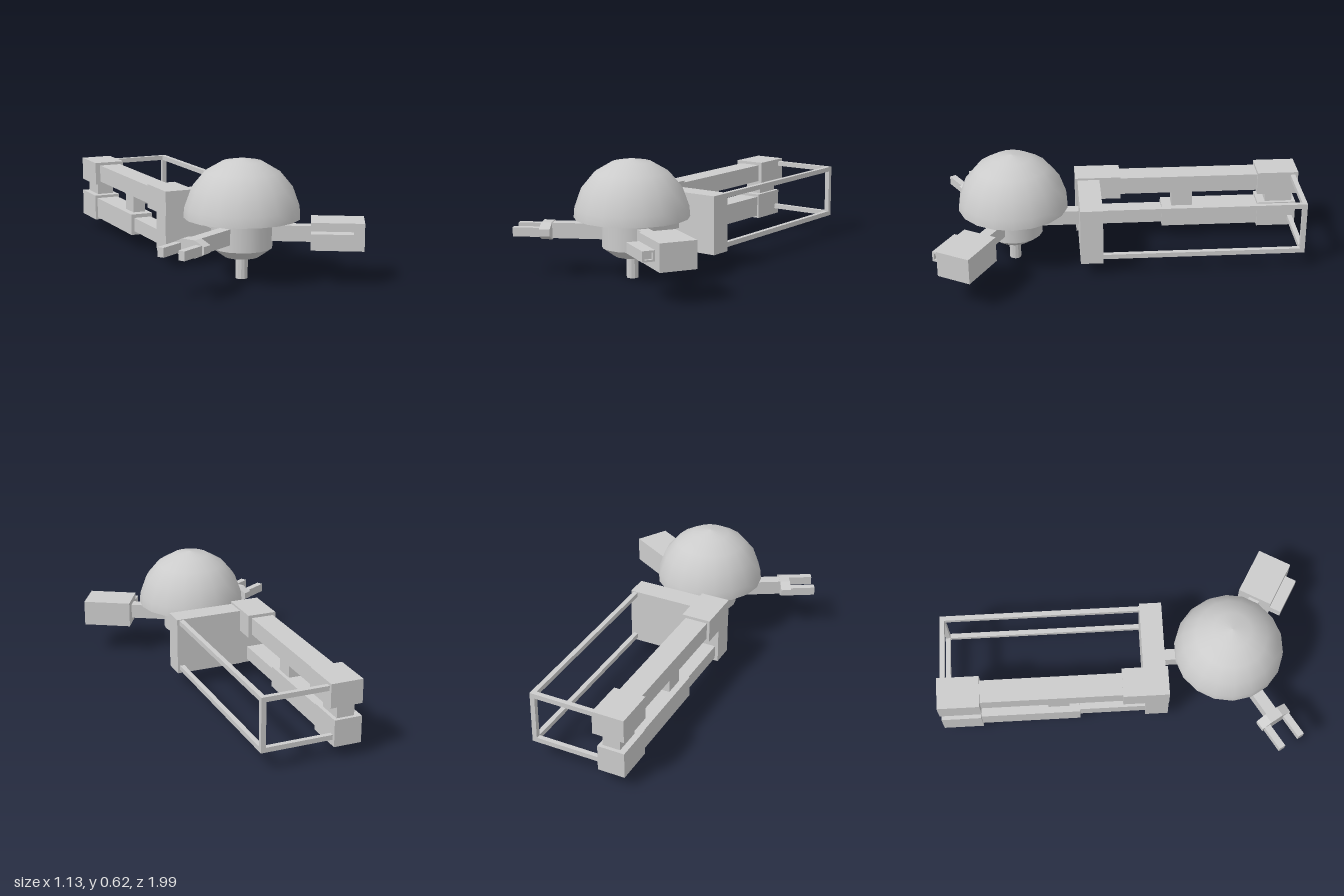
import * as THREE from 'three';

const grey = new THREE.MeshStandardMaterial({ color: 0xcccccc, flatShading: true });
const smooth = new THREE.MeshStandardMaterial({ color: 0xcccccc });

function add(parent, name, geometry, material = grey) {
  const mesh = new THREE.Mesh(geometry, material);
  mesh.name = name;
  parent.add(mesh);
  return mesh;
}

// Box given by its extents on each axis
function box(parent, name, [x0, x1], [y0, y1], [z0, z1]) {
  const mesh = add(parent, name, new THREE.BoxGeometry(x1 - x0, y1 - y0, z1 - z0));
  mesh.position.set((x0 + x1) / 2, (y0 + y1) / 2, (z0 + z1) / 2);
  return mesh;
}

// 18-sided turned part with corners on the x axis
function turned(parent, name, points, material = smooth) {
  const profile = points.map(([r, y]) => new THREE.Vector2(r, y));
  return add(parent, name, new THREE.LatheGeometry(profile, 18, Math.PI / 18), material);
}

function createHead() {
  const head = new THREE.Group();
  head.name = 'head';
  head.position.set(-0.01, 0, 0.57);

  // Dome with a flat underside
  const dome = [90, 80, 60, 40, 20, 0].map((d) => {
    const a = THREE.MathUtils.degToRad(d);
    return [0.295 * Math.sin(a), 0.316 + 0.299 * Math.cos(a)];
  });
  turned(head, 'dome', dome);
  turned(head, 'domeUnderside', [[0, 0.316], [0.295, 0.316]], grey);

  // Body, tapered base and stem
  turned(head, 'body', [[0.155, 0.162], [0.155, 0.316]]);
  turned(head, 'taperedBase', [[0, 0.115], [0.09, 0.115], [0.155, 0.162]], grey);
  const stem = add(head, 'stem', new THREE.CylinderGeometry(0.031, 0.031, 0.12, 12));
  stem.position.y = 0.06;

  // Three arms at 120 degrees; local +x points outward
  const arm = (name, degrees, end) => {
    const group = new THREE.Group();
    group.name = name;
    group.rotation.y = THREE.MathUtils.degToRad(degrees);
    box(group, name + 'Beam', [0.135, end], [0.2, 0.28], [-0.031, 0.031]);
    head.add(group);
    return group;
  };
  arm('neck', 90, 0.36);

  // Tool arm: housing with a hollow square barrel on its side
  const tool = arm('toolArm', -30, 0.36);
  box(tool, 'toolHousing', [0.345, 0.61], [0.17, 0.31], [-0.095, 0.095]);
  const square = (path, w, h) => path.moveTo(-w, -h).lineTo(w, -h).lineTo(w, h).lineTo(-w, h).closePath();
  const section = square(new THREE.Shape(), 0.0325, 0.027);
  section.holes.push(square(new THREE.Path(), 0.021, 0.017));
  const barrel = add(tool, 'toolBarrel', new THREE.ExtrudeGeometry(section, { depth: 0.21, bevelEnabled: false }));
  barrel.rotation.y = Math.PI / 2;
  barrel.position.set(0.345, 0.24, 0.1275);
  box(tool, 'barrelCore', [0.346, 0.54], [0.223, 0.257], [0.1065, 0.1485]);

  // Claw arm: octagonal palm and two fingers
  const claw = arm('clawArm', -150, 0.42);
  const palmGeometry = new THREE.CylinderGeometry(1, 1, 0.055, 8)
    .rotateY(Math.PI / 8)
    .rotateZ(Math.PI / 2);
  const c = Math.cos(Math.PI / 8);
  palmGeometry.scale(1, 0.044 / c, 0.09 / c);
  const palm = add(claw, 'clawPalm', palmGeometry);
  palm.position.set(0.434, 0.239, 0);
  for (const z of [-0.061, 0.061])
    box(claw, 'clawFinger', [0.44, 0.6], [0.215, 0.262], [z - 0.018, z + 0.018]);
  return head;
}

function createFrame() {
  const frame = new THREE.Group();
  frame.name = 'frame';

  // Front plate and corner column
  box(frame, 'frontPlate', [-0.13, 0.25], [0.083, 0.395], [0.1, 0.22]);
  box(frame, 'cornerColumn', [-0.28, -0.12], [0.083, 0.29], [0.105, 0.23]);
  box(frame, 'cornerBlock', [-0.28, -0.12], [0.278, 0.406], [-0.015, 0.232]);

  // Upper and lower beams with end blocks and posts between them
  box(frame, 'upperBeam', [-0.265, -0.14], [0.295, 0.39], [-0.8, 0]);
  box(frame, 'upperEndBlock', [-0.293, -0.12], [0.278, 0.406], [-1, -0.775]);
  box(frame, 'lowerThinBeam', [-0.262, -0.165], [0.1, 0.175], [-0.26, 0.11]);
  box(frame, 'lowerThickBeam', [-0.28, -0.155], [0.08, 0.195], [-0.8, -0.25]);
  box(frame, 'lowerEndBlock', [-0.293, -0.145], [0.067, 0.21], [-1, -0.785]);
  box(frame, 'middlePost', [-0.245, -0.175], [0.19, 0.3], [-0.42, -0.305]);
  box(frame, 'endPost', [-0.26, -0.165], [0.2, 0.285], [-0.98, -0.83]);

  // Thin side rails
  for (const y of [0.1, 0.365]) {
    box(frame, 'longRail', [0.211, 0.237], [y, y + 0.026], [-0.983, 0.11]);
    box(frame, 'crossRail', [-0.15, 0.237], [y, y + 0.026], [-0.983, -0.957]);
  }
  box(frame, 'railPost', [0.211, 0.237], [0.1, 0.391], [-0.983, -0.957]);
  return frame;
}

export function createModel() {
  const model = new THREE.Group();
  model.name = 'domeHeadedMachine';
  model.add(createHead(), createFrame());
  return model;
}
